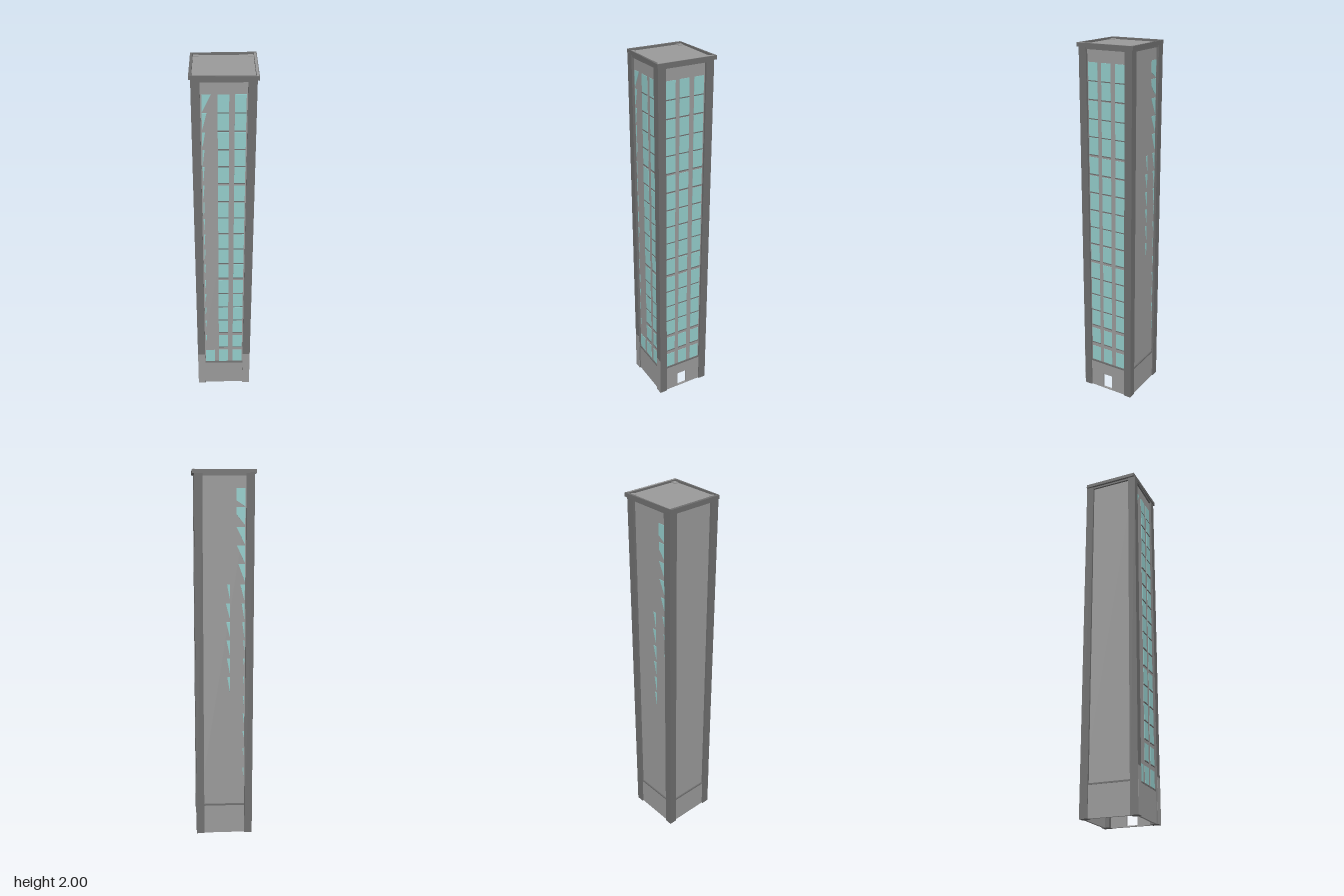
import * as THREE from 'three';

const mat = (name, color) => {
  const m = new THREE.MeshStandardMaterial({ color });
  m.name = name;
  return m;
};

export function createModel() {
  const concrete = mat('concrete', 0x999999);
  const darkConcrete = mat('dark concrete', 0x6e6e6e);
  const glass = mat('glass', 0x92cbc9);

  const tower = new THREE.Group();
  tower.name = 'tower';

  const add = (parent, name, geometry, material) => {
    const m = new THREE.Mesh(geometry, material);
    m.name = name;
    parent.add(m);
    return m;
  };
  // Box given by its limits on each axis
  const box = (parent, name, material, x0, x1, y0, y1, z0, z1) => {
    const g = new THREE.BoxGeometry(x1 - x0, y1 - y0, z1 - z0);
    g.translate((x0 + x1) / 2, (y0 + y1) / 2, (z0 + z1) / 2);
    return add(parent, name, g, material);
  };
  const polygon = (pts) => new THREE.Shape(pts.map(([x, y]) => new THREE.Vector2(x, y)));
  const extrude = (shape, depth) => new THREE.ExtrudeGeometry(shape, { depth, bevelEnabled: false });

  const WALL = 0.143, BASE = 0.149, OUT = 0.156, IN = 0.113, BASE_TOP = 0.17;

  // Shaft and corner pillars
  box(tower, 'shaft', concrete, -WALL, WALL, 0.165, 1.98, -WALL, WALL);
  for (const sx of [-1, 1]) for (const sz of [-1, 1]) {
    const c = (IN + OUT) / 2, w = OUT - IN;
    box(tower, 'cornerPillar', darkConcrete,
      sx * c - w / 2, sx * c + w / 2, 0, 1.985, sz * c - w / 2, sz * c + w / 2);
  }

  // Each side is built facing +z, then turned into place
  const sides = ['front', 'right', 'back', 'left'].map((name, i) => {
    const side = new THREE.Group();
    side.name = name + 'Side';
    side.rotation.y = i * Math.PI / 2;
    tower.add(side);

    // Hollow base wall, with a doorway on one side
    const wall = polygon([[-IN, 0], [IN, 0], [IN, BASE_TOP], [-IN, BASE_TOP]]);
    if (name === 'right') {
      wall.holes.push(polygon([[-0.035, 0.006], [-0.035, 0.095], [0.025, 0.095], [0.025, 0.006]]));
    }
    const g = extrude(wall, 0.012);
    g.translate(0, 0, BASE - 0.012);
    add(side, 'baseWall', g, concrete);
    box(side, 'baseLedge', darkConcrete, -IN, IN, 0.164, 0.173, WALL - 0.002, BASE + 0.001);
    box(side, 'topBeam', darkConcrete, -IN, IN, 1.968, 1.98, WALL - 0.002, 0.153);
    return side;
  });
  const [front, right, back] = sides;

  // Pale footing on the front pillars
  for (const s of [-1, 1]) {
    const c = s * (IN + OUT) / 2;
    box(front, 'pillarFooting', concrete, c - 0.0215, c + 0.0215, 0, 0.24, OUT, OUT + 0.001);
  }

  // Windows
  const tops = [1.905, 1.81, 1.71, 1.615, 1.518, 1.412, 1.31, 1.21, 1.11,
    1.012, 0.91, 0.80, 0.70, 0.60, 0.50, 0.385, 0.265];
  const columns = [-0.108, -0.03, 0.052];
  const W = 0.055, H = 0.091;

  const pane = (side, x, top) => {
    box(side, 'window', glass, x, x + W, top - H, top, WALL - 0.002, WALL + 0.002);
    box(side, 'windowSill', darkConcrete, x, x + W, top - H - 0.005, top - H, WALL - 0.002, WALL + 0.004);
  };
  // Sliver of a pane: widths at top and bottom, measured from a fixed upright edge
  const sliver = (side, edge, dir, top, wTop, wBottom, h = H) => {
    const pts = [[edge, top - h], [edge + dir * wBottom, top - h], [edge + dir * wTop, top], [edge, top]];
    if (wBottom === 0) pts.splice(1, 1);
    const g = extrude(polygon(pts), 0.003);
    g.translate(0, 0, WALL - 0.001);
    add(side, 'windowSliver', g, glass);
  };

  tops.forEach((top, i) => {
    columns.forEach((x, c) => {
      pane(right, x, top);
      if (c > 0 || i === 16) pane(front, x, top);
    });
    // Partly covered column on the front
    if (i < 16) {
      const w = [0.045, 0.023, 0.015, 0.011, 0.009][i] ?? 0.007;
      sliver(front, -0.106, 1, top, w, i < 4 ? 0 : 0.003, i < 4 ? H : H * (1 - 0.035 * i));
    }
    // Partly covered columns on the back
    if (i < 2) {
      const cut = i ? 0.055 : 0.03;
      const g = extrude(polygon([[0.108, top - H], [0.108, top], [0.063, top], [0.063, top - H + cut]]), 0.003);
      g.translate(0, 0, WALL - 0.001);
      add(back, 'windowSliver', g, glass);
    } else if (i < 16) {
      const w = [0, 0, 0.045, 0.043, 0.034, 0.024, 0.016, 0.012][i] ?? 0.007;
      sliver(back, 0.108, -1, top, w, 0, i < 8 ? H : H * 0.6);
    }
    if (i >= 5 && i <= 10) {
      sliver(back, 0.03, -1, top, i === 5 ? 0.016 : 0.022 - 0.002 * (i - 6), 0, H * 0.9);
    }
  });

  // Roof slab and slightly tapered parapet
  box(tower, 'roof', concrete, -0.152, 0.152, 1.975, 1.988, -0.152, 0.152);
  const rim = polygon([[-0.165, -0.155], [0.165, -0.165], [0.165, 0.163], [-0.165, 0.153]]);
  rim.holes.push(polygon([[-0.151, -0.152], [-0.151, 0.149], [0.15, 0.149], [0.15, -0.152]]));
  const rimGeometry = extrude(rim, 0.02);
  rimGeometry.rotateX(Math.PI / 2);
  rimGeometry.translate(0, 1.999, 0);
  add(tower, 'parapet', rimGeometry, darkConcrete);
  box(tower, 'parapetCap', concrete, 0.151, 0.162, 1.999, 2, -0.15, 0.158);

  // Pillar heads showing at the roof corners
  for (const sx of [-1, 1]) for (const sz of [-1, 1]) {
    box(tower, 'pillarHead', concrete,
      sx * 0.136 - 0.014, sx * 0.136 + 0.014, 1.98, 1.992, sz * 0.136 - 0.012, sz * 0.136 + 0.012);
  }
  return tower;
}
